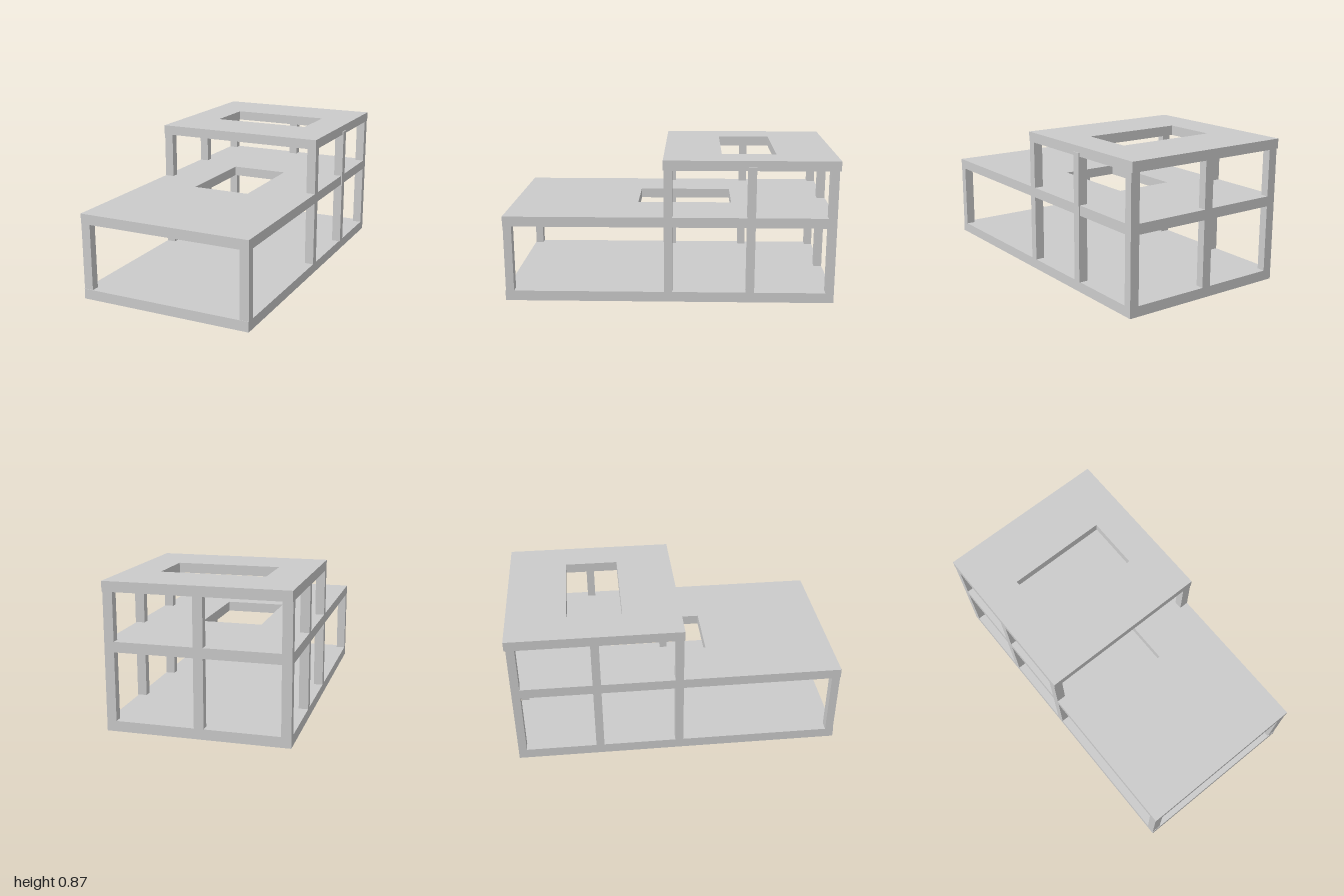
import * as THREE from 'three';

const X0 = -0.54, X1 = 0.533; // side faces of the frame
const BACK = -0.99, FRONT = 1;
const POST_W = 0.057, POST_D = 0.05;

export function createModel() {
  const model = new THREE.Group();
  model.name = 'buildingFrame';
  const material = new THREE.MeshStandardMaterial({ color: 0xcccccc, flatShading: true });

  const add = (name, geometry) => {
    const mesh = new THREE.Mesh(geometry, material);
    mesh.name = name;
    model.add(mesh);
    return mesh;
  };

  // Rectangle outline in plan; shape y is -z so the slab extrudes upward
  const rect = (Type, x0, x1, z0, z1) => new Type([
    new THREE.Vector2(x0, -z1), new THREE.Vector2(x1, -z1),
    new THREE.Vector2(x1, -z0), new THREE.Vector2(x0, -z0),
  ]);

  // Horizontal slab with an optional rectangular opening
  const slab = (name, y0, y1, z0, z1, hole) => {
    const shape = rect(THREE.Shape, X0, X1, z0, z1);
    if (hole) shape.holes.push(rect(THREE.Path, ...hole));
    const geometry = new THREE.ExtrudeGeometry(shape, { depth: y1 - y0, bevelEnabled: false });
    geometry.rotateX(-Math.PI / 2).translate(0, y0, 0);
    add(name, geometry);
  };

  // Upright post given its centre in plan and its bottom and top
  const post = (name, x, z, y0, y1) => {
    add(name, new THREE.BoxGeometry(POST_W, y1 - y0, POST_D)).position.set(x, (y0 + y1) / 2, z);
  };

  // Ground floor, upper floor with stair opening, roof with skylight
  slab('groundSlab', 0, 0.062, BACK, FRONT);
  slab('upperFloorSlab', 0.467, 0.528, BACK, FRONT, [-0.22, 0.15, -0.38, 0.21]);
  slab('roofSlab', 0.812, 0.872, -1, 0.04, [-0.31, 0.32, -0.64, -0.31]);

  const storeys = [
    { name: 'lower', y0: 0.062, y1: 0.467, rows: [0.972, 0.01, BACK + POST_D / 2] },
    { name: 'upper', y0: 0.528, y1: 0.812, rows: [0.01, BACK + POST_D / 2] },
  ];
  const leftX = X1 - POST_W / 2, rightX = X0 + POST_W / 2, middleZ = -0.485;

  // Posts along both sides and in the middle of the back
  for (const { name, y0, y1, rows } of storeys) {
    for (const z of rows) {
      post(`${name}LeftPost`, leftX, z, y0, y1);
      post(`${name}RightPost`, rightX, z, y0, y1);
    }
    post(`${name}RightMiddlePost`, rightX, middleZ, y0, y1);
    post(`${name}BackMiddlePost`, -0.015, BACK + POST_D / 2, y0, y1);
  }

  // Continuous side post standing slightly proud of the slabs
  post('tallLeftMiddlePost', leftX + 0.007, middleZ, 0.062, 0.833);

  return model;
}
